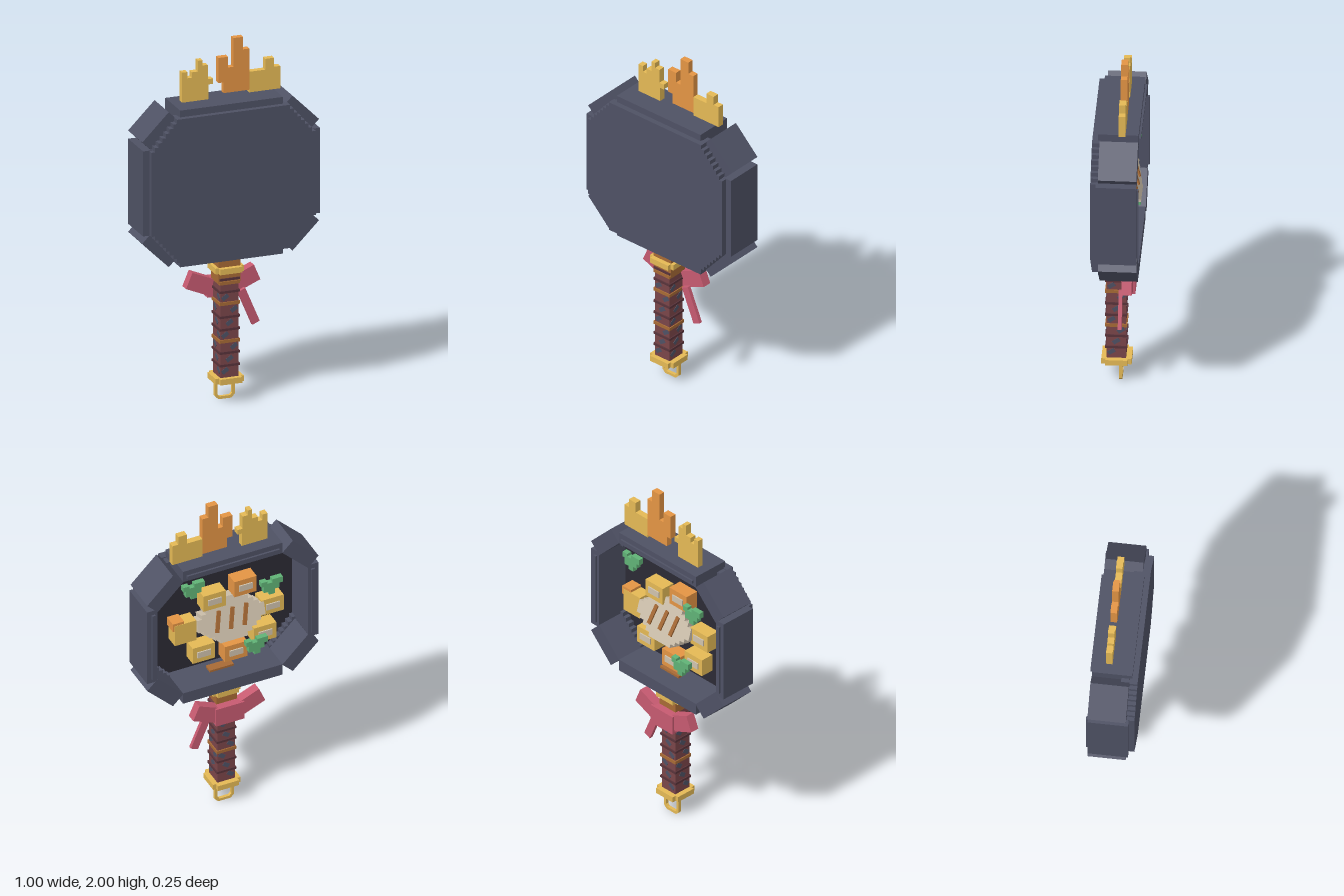
import * as THREE from 'three';

const mat = (name, color) => {
  const m = new THREE.MeshStandardMaterial({ color });
  m.name = name;
  return m;
};

export function createModel() {
  const root = new THREE.Group();
  root.name = 'fryingPan';
  const steel = mat('steel', 0x4e5164), dark = mat('darkFloor', 0x2b2a34);
  const gold = mat('gold', 0xe4b955), orange = mat('orange', 0xe39444);
  const brown = mat('brown', 0xa76a35), maroon = mat('maroon', 0x7a4549);
  const pink = mat('ribbonPink', 0xc65a70), cream = mat('cream', 0xcfc2ad);
  const green = mat('leafGreen', 0x60b276), wine = mat('darkWine', 0x59333a);

  const add = (name, geo, m, parent = root) => {
    const mesh = new THREE.Mesh(geo, m);
    mesh.name = name;
    parent.add(mesh);
    return mesh;
  };
  // Box by centre and size, turned about z
  const box = (name, m, [x, y, z], [w, h, d], rz = 0, parent = root) => {
    const b = add(name, new THREE.BoxGeometry(w, h, d), m, parent);
    b.position.set(x, y, z);
    b.rotation.z = rz;
    return b;
  };
  // Flat outline extruded from z0 to z1
  const slab = (name, m, pts, z0, z1, parent = root, hole) => {
    const s = new THREE.Shape(pts.map(p => new THREE.Vector2(...p)));
    if (hole) s.holes.push(new THREE.Path(hole.map(p => new THREE.Vector2(...p))));
    const g = new THREE.ExtrudeGeometry(s, { depth: z1 - z0, bevelEnabled: false });
    g.translate(0, 0, z0);
    return add(name, g, m, parent);
  };
  // Octagon with staircase corners, built from one quadrant
  const stepped = (cy, xo, yo, xi, yi, n) => {
    const q = [];
    for (let i = 0; i < n; i++) {
      const x = xo + (xi - xo) * i / (n - 1), y = yi + (yo - yi) * i / (n - 1);
      q.push([x, y]);
      if (i < n - 1) q.push([xo + (xi - xo) * (i + 1) / (n - 1), y]);
    }
    const r = [...q].reverse();
    return [...q, ...r.map(([x, y]) => [-x, y]), ...q.map(([x, y]) => [-x, -y]),
      ...r.map(([x, y]) => [x, -y])].map(([x, y]) => [x, y + cy]);
  };

  // Pan base, dark inner floor with a stepped edge, and eight walls
  const CY = 1.24;
  slab('panBase', steel, stepped(CY, 0.465, 0.4, 0.32, 0.235, 8), 0.085, 0.128);
  slab('panFloor', dark, stepped(CY, 0.455, 0.39, 0.3, 0.22, 8), 0.078, 0.0845);
  slab('floorEdge', steel, stepped(CY, 0.46, 0.395, 0.32, 0.235, 8), 0.04, 0.084, root,
    stepped(CY, 0.442, 0.38, 0.29, 0.21, 8).reverse());
  for (const s of [1, -1]) {
    box('endWall', steel, [0, CY + s * 0.4035, -0.009], [0.58, 0.068, 0.214]);
    box('sideWall', steel, [s * 0.47, CY, -0.009], [0.06, 0.475, 0.214]);
    box('sideRim', steel, [s * 0.465, CY, -0.121], [0.02, 0.42, 0.012]);
    for (const t of [1, -1])
      box('cornerWall', steel, [s * 0.394, CY + t * 0.327, -0.016], [0.212, 0.087, 0.203], -s * t * Math.PI / 4);
  }
  box('topRim', steel, [0, 1.638, -0.121], [0.54, 0.018, 0.012]);
  box('innerTab', brown, [0.015, 0.876, 0.01], [0.14, 0.014, 0.05]);

  // Flames on the top edge
  slab('flameRight', gold, [[-0.235, 1.675], [-0.085, 1.675], [-0.085, 1.76], [-0.06, 1.76], [-0.06, 1.79],
    [-0.09, 1.79], [-0.09, 1.87], [-0.12, 1.87], [-0.12, 1.9], [-0.145, 1.9], [-0.145, 1.84], [-0.18, 1.84],
    [-0.18, 1.81], [-0.205, 1.81], [-0.205, 1.845], [-0.235, 1.845]], -0.048, -0.013);
  slab('flameMiddle', orange, [[0, 1.7], [0.145, 1.7], [0.145, 1.93], [0.11, 1.93], [0.11, 2], [0.055, 2],
    [0.055, 1.84], [0.025, 1.84], [0.025, 1.9], [-0.03, 1.9], [-0.03, 1.76], [0, 1.76]], -0.048, -0.013);
  slab('flameLeft', gold, [[0.145, 1.685], [0.32, 1.685], [0.32, 1.81], [0.285, 1.81], [0.285, 1.86],
    [0.235, 1.86], [0.235, 1.8], [0.145, 1.8]], -0.048, -0.013);

  // Ring of labelled food blocks
  const blocks = [[0.08, 1.377, gold], [-0.1, 1.413, orange], [-0.258, 1.236, gold], [-0.215, 1.067, gold],
    [-0.045, 1.0, orange], [0.143, 1.052, gold]];
  for (const [x, y, m] of blocks) {
    box('foodBlock', m, [x, y, -0.024], [0.13, 0.1, 0.078]);
    box('blockLabel', cream, [x, y, -0.0665], [0.078, 0.037, 0.007]);
  }
  box('tallBlock', gold, [0.25, 1.22, -0.024], [0.125, 0.13, 0.078]);
  box('blockCap', orange, [0.29, 1.275, -0.024], [0.065, 0.05, 0.074]);

  // Leaning centre piece with three sear marks
  const centre = new THREE.Group();
  centre.name = 'centrePiece';
  centre.position.set(-0.01, 1.238, -0.045);
  centre.rotation.x = 0.3;
  root.add(centre);
  slab('fillet', cream, stepped(0, 0.195, 0.125, 0.08, 0.035, 5), -0.035, 0.04, centre);
  for (const x of [-0.08, 0, 0.08])
    box('searMark', brown, [x, 0, -0.038], [0.022, 0.12, 0.012], 0.22, centre);

  // Jagged herb leaves
  const leaf = [[-0.06, 0.01], [-0.04, 0.01], [-0.04, -0.02], [-0.015, -0.02], [-0.015, -0.05], [0.02, -0.05],
    [0.02, -0.03], [0.05, -0.03], [0.05, 0.01], [0.065, 0.01], [0.065, 0.04], [0.03, 0.04], [0.03, 0.025],
    [0, 0.025], [0, 0.045], [-0.06, 0.045]];
  for (const [x, y] of [[0.215, 1.515], [-0.24, 1.395], [-0.153, 1.028]])
    slab('herbLeaf', green, leaf, -0.015, 0.015).position.set(x, y, -0.085);

  // Handle grip, ridges, bands and slanted inlays
  const HZ = 0.017;
  box('grip', maroon, [0, 0.4, HZ], [0.102, 0.54, 0.104]);
  for (const y of [0.21, 0.28, 0.41, 0.48, 0.62, 0.69])
    box('gripRidge', wine, [0, y, HZ], [0.114, 0.013, 0.116]);
  for (const y of [0.345, 0.555, 0.67])
    box('gripBand', brown, [0, y, HZ], [0.114, 0.018, 0.116]);
  [0.18, 0.245, 0.313, 0.38, 0.447, 0.52, 0.59].forEach((y, i) => {
    const o = (i % 3 - 1) * 0.025;
    box('gripInlay', steel, [o, y, HZ], [0.04, 0.024, 0.108], 0.6);
    const side = box('sideInlay', steel, [0, y, HZ - o], [0.106, 0.024, 0.04]);
    side.rotation.x = 0.6;
  });
  box('ferrule', brown, [0, 0.74, 0.013], [0.122, 0.14, 0.112]);
  // Cross-shaped collars
  for (const y of [0.742, 0.126]) {
    box('collarAcross', gold, [0, y, 0.015], [0.16, 0.032, 0.116]);
    box('collarAlong', gold, [0, y, 0.015], [0.124, 0.0318, 0.16]);
  }

  // Hanging loop
  const oct = (w, h, c) => [[-w + c, -h], [w - c, -h], [w, -h + c], [w, h - c], [w - c, h], [-w + c, h],
    [-w, h - c], [-w, -h + c]].map(([x, y]) => [x, y + 0.057]);
  slab('hangingLoop', gold, oct(0.056, 0.057, 0.02), -0.015, 0.003, root, oct(0.041, 0.042, 0.012).reverse());

  // Ribbon tied behind the handle
  box('ribbonKnot', pink, [0, 0.615, -0.061], [0.165, 0.11, 0.05]);
  for (const s of [1, -1])
    box('ribbonWing', pink, [s * 0.13, 0.647, -0.047], [0.135, 0.093, 0.053], s * 0.4);
  box('ribbonTail', pink, [0.137, 0.495, -0.01], [0.045, 0.21, 0.02], 0.4);

  return root;
}
